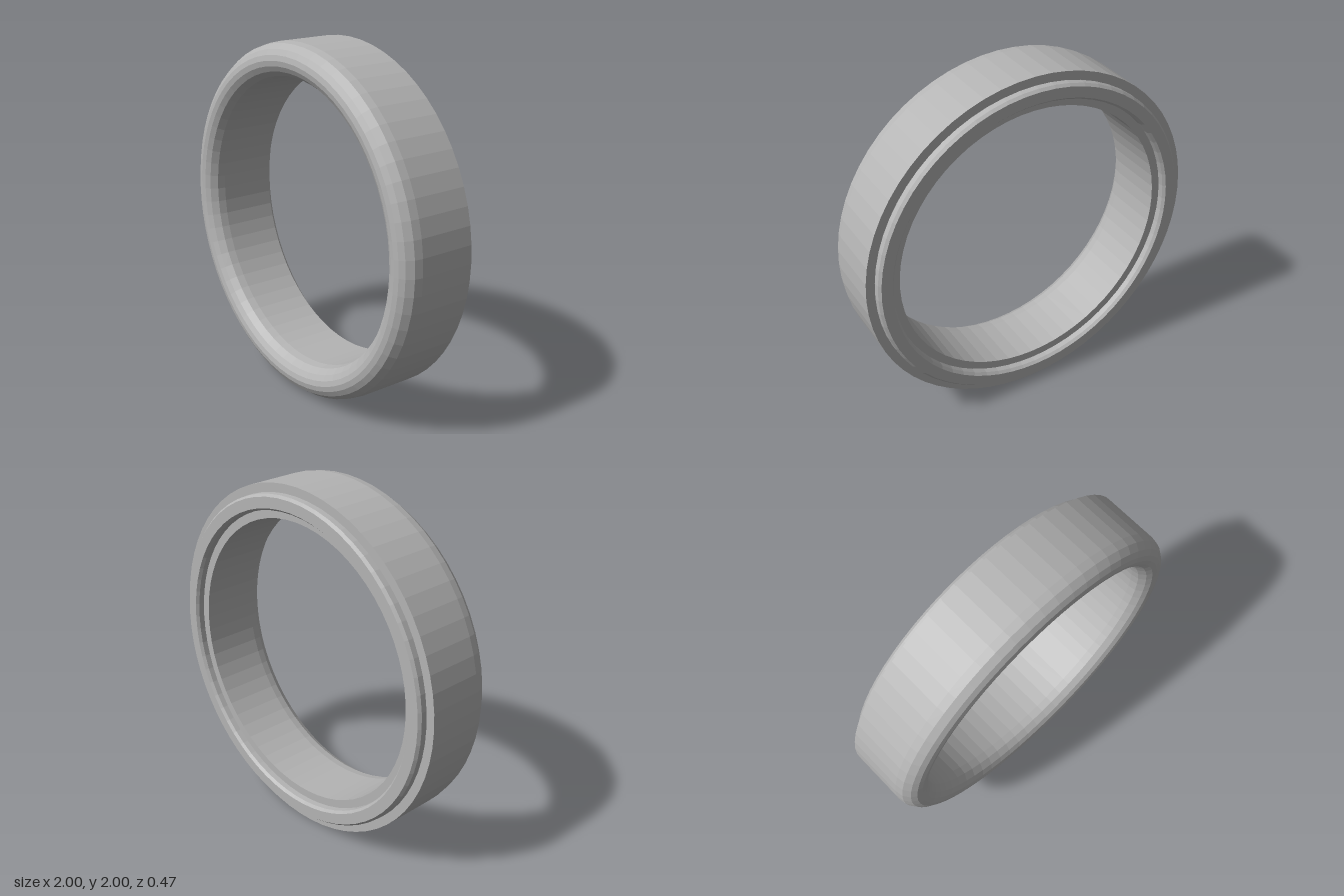
import * as THREE from 'three';

const SIDES = 64;

// Revolves a closed [radius, z] section about the z axis.
function ring(name, section, material) {
  const points = [...section, section[0]].map(([r, z]) => new THREE.Vector2(r, z));
  const geometry = new THREE.LatheGeometry(points, SIDES).rotateX(Math.PI / 2);
  const mesh = new THREE.Mesh(geometry, material);
  mesh.name = name;
  mesh.position.y = 1;
  return mesh;
}

export function createModel() {
  const model = new THREE.Group();
  model.name = 'ring';

  const grey = new THREE.MeshStandardMaterial({ color: 0xb4b4b4 });
  grey.name = 'grey';
  grey.flatShading = true;

  // Band with a rounded front lip, and a bevelled ridge stepped in from both rear edges
  model.add(ring('steppedBand', [
    // rear ridge, outer side
    [0.935, -0.238], [0.948, -0.222], [0.95, -0.19],
    // outer shoulder and barrel
    [1, -0.19], [1, 0.13],
    // rounded front lip
    [0.992, 0.175], [0.965, 0.212], [0.935, 0.23], [0.905, 0.236],
    [0.875, 0.23], [0.845, 0.212], [0.818, 0.175], [0.81, 0.13],
    // bore and inner shoulder
    [0.81, -0.19], [0.858, -0.19],
    // rear ridge, inner side
    [0.86, -0.222], [0.873, -0.238],
  ], grey));

  return model;
}
